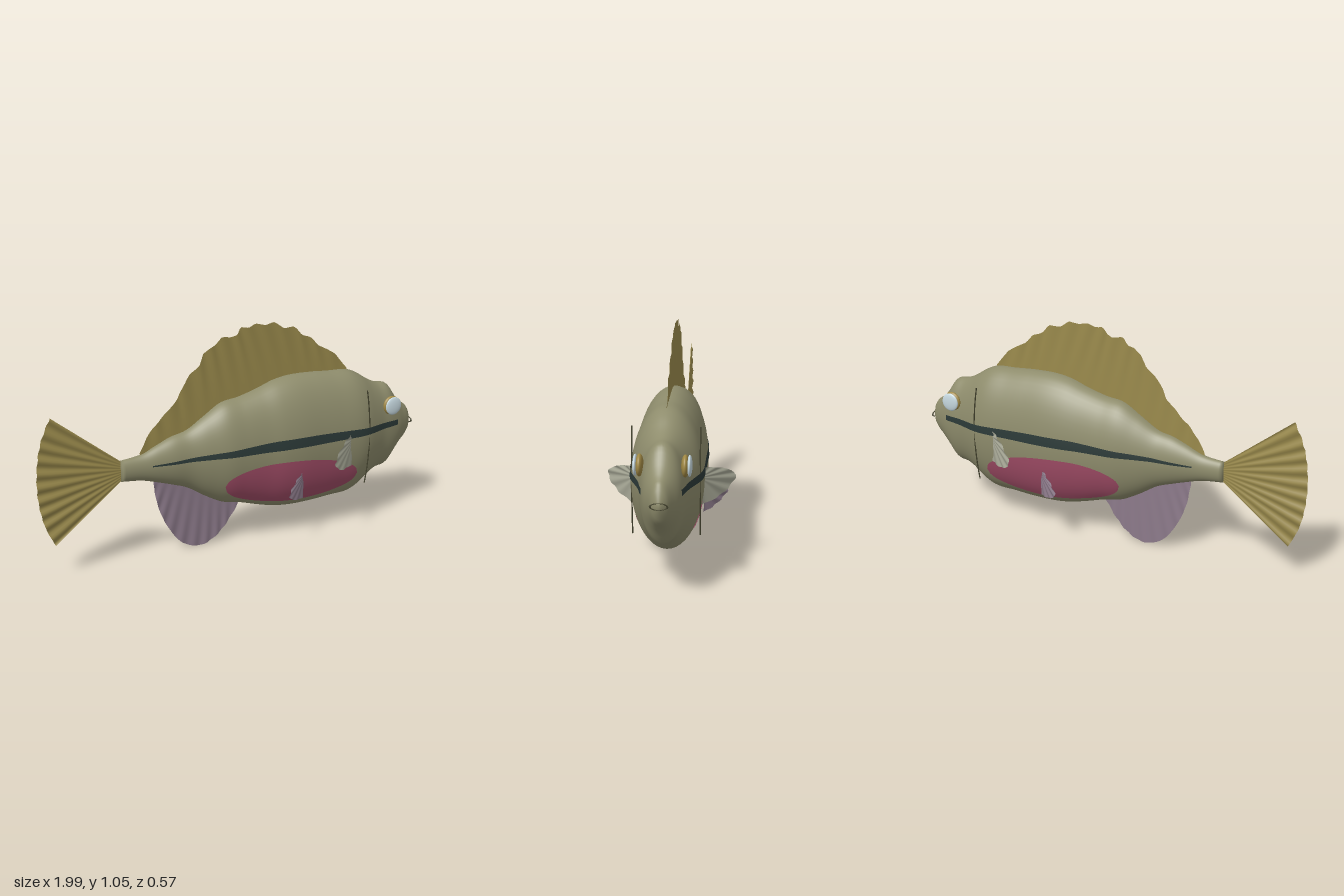
import * as THREE from 'three';

const mat = (name, color, side = THREE.FrontSide) => {
  const m = new THREE.MeshStandardMaterial({ color, side });
  m.name = name;
  return m;
};

// Body stations: x, top y, bottom y, half width
const stations = [
  [-0.6, 0.5, 0.4, 0.028], [-0.5, 0.512, 0.388, 0.036], [-0.42, 0.545, 0.365, 0.05], [-0.35, 0.573, 0.342, 0.063],
  [-0.27, 0.592, 0.312, 0.073], [-0.18, 0.645, 0.255, 0.097], [-0.09, 0.698, 0.208, 0.121], [0.0, 0.712, 0.188, 0.13],
  [0.1, 0.738, 0.158, 0.139], [0.19, 0.768, 0.135, 0.153], [0.28, 0.781, 0.125, 0.159], [0.4, 0.779, 0.125, 0.158],
  [0.5, 0.771, 0.131, 0.158], [0.6, 0.765, 0.136, 0.157], [0.66, 0.742, 0.162, 0.147], [0.73, 0.698, 0.208, 0.122],
  [0.78, 0.676, 0.229, 0.104], [0.84, 0.662, 0.242, 0.09], [0.89, 0.595, 0.305, 0.075], [0.93, 0.555, 0.345, 0.055],
  [0.96, 0.535, 0.37, 0.04], [0.98, 0.505, 0.4, 0.027], [0.99, 0.47, 0.43, 0.012],
];

// Smooth interpolation of the table at any x: centre height, half height, half width
function section(x) {
  const n = stations.length;
  let i = 0;
  while (i < n - 2 && x > stations[i + 1][0]) i++;
  const a = stations[i], b = stations[i + 1], h = b[0] - a[0];
  const t = THREE.MathUtils.clamp((x - a[0]) / h, 0, 1);
  const slope = (j, k) => {
    const p = stations[Math.max(j - 1, 0)], q = stations[Math.min(j + 1, n - 1)];
    return (q[k] - p[k]) / (q[0] - p[0]);
  };
  const v = (k) => {
    const t2 = t * t, t3 = t2 * t;
    return (2 * t3 - 3 * t2 + 1) * a[k] + (t3 - 2 * t2 + t) * h * slope(i, k)
      + (3 * t2 - 2 * t3) * b[k] + (t3 - t2) * h * slope(i + 1, k);
  };
  const top = v(1), bottom = v(2);
  return { cy: (top + bottom) / 2, ry: (top - bottom) / 2, rz: v(3) };
}

// Grid surface from a rule point(u, v) -> [x, y, z]
function grid(nu, nv, point) {
  const pos = [], idx = [];
  for (let i = 0; i <= nu; i++) for (let j = 0; j <= nv; j++) pos.push(...point(i / nu, j / nv));
  for (let i = 0; i < nu; i++) for (let j = 0; j < nv; j++) {
    const a = i * (nv + 1) + j, b = a + nv + 1;
    idx.push(a, b, a + 1, b, b + 1, a + 1);
  }
  const g = new THREE.BufferGeometry();
  g.setAttribute('position', new THREE.Float32BufferAttribute(pos, 3));
  g.setIndex(idx);
  g.computeVertexNormals();
  return g;
}

function bodyGeometry() {
  const nx = 110, na = 48, pos = [], idx = [];
  for (let i = 0; i <= nx; i++) {
    const x = -0.6 + 1.59 * i / nx, s = section(x);
    for (let j = 0; j < na; j++) {
      const a = j / na * Math.PI * 2;
      pos.push(x, s.cy + s.ry * Math.cos(a), s.rz * Math.sin(a));
    }
  }
  for (let i = 0; i < nx; i++) for (let j = 0; j < na; j++) {
    const a = i * na + j, b = i * na + (j + 1) % na;
    idx.push(a, b, a + na, b, b + na, a + na);
  }
  // end caps
  const tail = pos.length / 3;
  pos.push(-0.6, 0.45, 0, 0.993, 0.45, 0);
  for (let j = 0; j < na; j++) {
    const k = (j + 1) % na;
    idx.push(tail, k, j, tail + 1, nx * na + j, nx * na + k);
  }
  const g = new THREE.BufferGeometry();
  g.setAttribute('position', new THREE.Float32BufferAttribute(pos, 3));
  g.setIndex(idx);
  g.computeVertexNormals();
  return g;
}

// Marking that hugs the flank between two height curves
function marking(x0, x1, low, high, side) {
  return grid(64, 10, (u, v) => {
    const x = x0 + (x1 - x0) * u, s = section(x);
    const y = THREE.MathUtils.lerp(low(u), high(u), v);
    const d = THREE.MathUtils.clamp((y - s.cy) / (s.ry + 0.003), -1, 1);
    return [x, y, side * (s.rz + 0.003) * Math.sqrt(1 - d * d)];
  });
}

// Piecewise-linear curve through [x, y] points
function curve(points) {
  return (t) => {
    const f = t * (points.length - 1), i = Math.min(Math.floor(f), points.length - 2), k = f - i;
    return [0, 1].map((c) => points[i][c] * (1 - k) + points[i + 1][c] * k);
  };
}
const smooth = (points) => {
  const c = new THREE.SplineCurve(points.map((p) => new THREE.Vector2(...p)));
  return (t) => c.getPoint(t).toArray();
};

// Thin rippled fin stretched from a base curve to an outer edge
function fin(base, edge, ripples, amp) {
  return grid(ripples * 6, 6, (u, v) => {
    const a = base(u), b = edge(u);
    return [a[0] + (b[0] - a[0]) * v, a[1] + (b[1] - a[1]) * v, amp * v * Math.sin(u * ripples * Math.PI * 2)];
  });
}

export function createModel() {
  const model = new THREE.Group();
  const two = THREE.DoubleSide;
  const olive = mat('olive skin', 0x8e8c6c);
  const gold = mat('gold fin', 0x9a8a4c, two);
  const mauve = mat('mauve fin', 0x8c7a8a, two);
  const pale = mat('pale fin', 0xa9aa98, two);
  const pink = mat('pink belly', 0xa04c66, two);
  const dark = mat('dark stripe', 0x2c3a38, two);
  const line = mat('dark olive line', 0x45442f);
  const iris = mat('eye gold', 0xa08844);
  const white = mat('eye white', 0xc6d8df);
  const add = (name, geometry, material, parent = model) => {
    const m = new THREE.Mesh(geometry, material);
    m.name = name;
    parent.add(m);
    return m;
  };

  add('body', bodyGeometry(), olive);

  // Dorsal fin with a scalloped edge
  const dorsalEdge = curve([[-0.505, 0.52], [-0.47, 0.585], [-0.43, 0.635], [-0.4, 0.66], [-0.36, 0.7], [-0.31, 0.745],
    [-0.29, 0.79], [-0.25, 0.85], [-0.2, 0.885], [-0.175, 0.94], [-0.14, 0.965], [-0.11, 0.975], [-0.08, 1.01],
    [-0.03, 1.0], [0, 1.01], [0.02, 1.043], [0.06, 1.035], [0.1, 1.05], [0.15, 1.038], [0.2, 1.046], [0.25, 1.01],
    [0.31, 1.012], [0.35, 0.965], [0.4, 0.95], [0.44, 0.905], [0.49, 0.88], [0.54, 0.85], [0.61, 0.768]]);
  const dorsalBase = (u) => {
    const x = -0.5 + 1.11 * u, s = section(x);
    return [x, s.cy + s.ry - 0.02];
  };
  add('dorsalFin', fin(dorsalBase, dorsalEdge, 14, 0.003), gold);

  // Anal fin
  const analEdge = smooth([[-0.44, 0.36], [-0.42, 0.25], [-0.375, 0.14], [-0.3, 0.04], [-0.205, 0.003],
    [-0.12, 0.032], [-0.05, 0.1], [0.015, 0.195]]);
  const analBase = (u) => {
    const x = -0.44 + 0.455 * u, s = section(x);
    return [x, s.cy - s.ry + 0.02];
  };
  add('analFin', fin(analBase, analEdge, 10, 0.003), mauve);

  // Tail fan
  const tailEdge = smooth([[-0.925, 0.752], [-0.968, 0.66], [-0.992, 0.56], [-1, 0.452], [-0.992, 0.345],
    [-0.968, 0.245], [-0.925, 0.153]]);
  add('tailFin', fin((u) => [-0.59, 0.49 - 0.08 * u], tailEdge, 10, 0.005), gold);

  for (const side of [1, -1]) {
    const word = side > 0 ? 'right' : 'left';

    // Flank stripe and belly patch
    const mid = smooth([[0, 0.462], [0.25, 0.477], [0.55, 0.488], [0.8, 0.484], [1, 0.474]]);
    const half = (u) => 0.003 + 0.021 * Math.min(1, u * 2.2) - 0.011 * Math.max(0, (u - 0.6) / 0.4);
    add(word + 'Stripe', marking(-0.46, 0.87, (u) => mid(u)[1] - half(u), (u) => mid(u)[1] + half(u), side), dark);
    const bulge = (u) => Math.sqrt(Math.max(0, 1 - (2 * u - 1) ** 2));
    const axis = (u) => 0.315 - 0.045 * u;
    add(word + 'BellyPatch', marking(-0.115, 0.6, (u) => axis(u) - 0.115 * bulge(u),
      (u) => axis(u) + 0.107 * bulge(u), side), pink);

    // Paired fins: outward run measured along the fin, height upright
    const pairedFin = (name, material, root, tip, baseY, edge) => {
      const run = Math.hypot(tip[0] - root[0], tip[1] - root[1]);
      const g = fin((u) => [0, baseY[0] + (baseY[1] - baseY[0]) * u], smooth(edge.map(([a, y]) => [a * run, y])), 6, 0.004);
      const m = add(name, g, material);
      m.position.set(root[0], 0, side * root[1]);
      m.rotation.y = -Math.atan2(side * (tip[1] - root[1]), tip[0] - root[0]);
    };
    pairedFin(word + 'PectoralFin', pale, [0.555, 0.148], [0.37, 0.285], [0.46, 0.43],
      [[0.02, 0.49], [0.3, 0.477], [0.7, 0.452], [1, 0.408], [0.8, 0.362], [0.45, 0.335], [0, 0.325]]);
    pairedFin(word + 'PelvicFin', mauve, [0.285, 0.139], [0.145, 0.243], [0.33, 0.29],
      [[0.02, 0.335], [0.35, 0.325], [0.75, 0.3], [1, 0.27], [0.75, 0.237], [0.4, 0.215], [0, 0.202]]);

    // Gill line
    const gill = new THREE.QuadraticBezierCurve3(new THREE.Vector3(0.635, 0.69, side * 0.145),
      new THREE.Vector3(0.68, 0.45, side * 0.145), new THREE.Vector3(0.635, 0.215, side * 0.145));
    add(word + 'GillLine', new THREE.TubeGeometry(gill, 24, 0.003, 6), line);

    // Eye: gold rim with a pale lens outside
    const eye = new THREE.Group();
    eye.name = word + 'Eye';
    eye.position.set(0.818, 0.573, side * 0.094);
    model.add(eye);
    add('eyeRim', new THREE.SphereGeometry(0.047, 32, 20), iris, eye).scale.z = 0.36;
    const lens = add('eyeLens', new THREE.SphereGeometry(0.045, 32, 20), white, eye);
    lens.scale.z = 0.24;
    lens.position.z = side * 0.018;
  }

  // Mouth ring
  const mouth = add('mouth', new THREE.TorusGeometry(0.035, 0.004, 8, 32), line);
  mouth.rotation.y = Math.PI / 2;
  mouth.scale.y = 0.4;
  mouth.position.set(0.988, 0.45, 0);

  return model;
}
